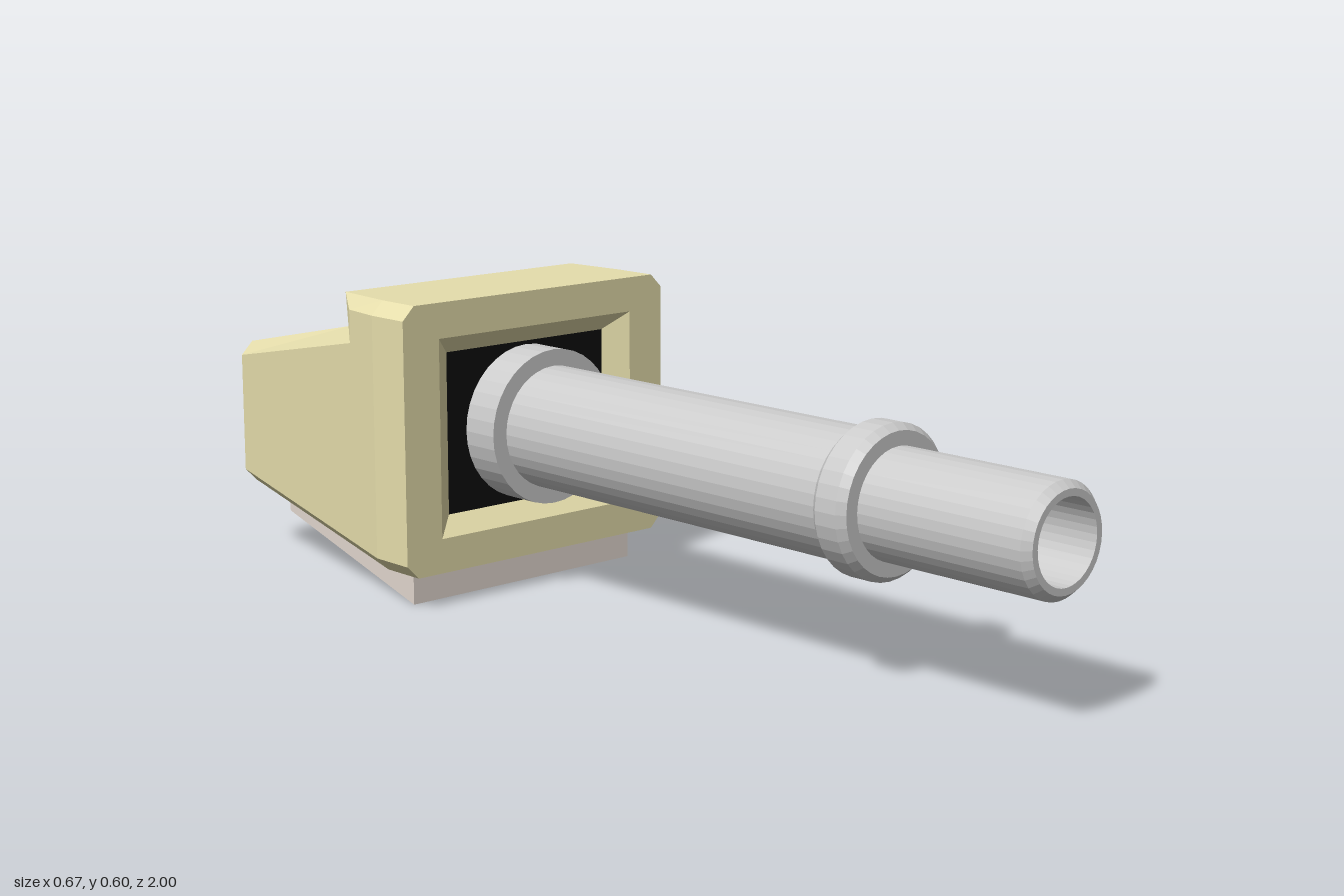
import * as THREE from 'three';

const material = (color) => new THREE.MeshStandardMaterial({ color, flatShading: true });

// Joins rings of points running from front (+z) to back, and closes the last one.
// Each ring is counter-clockwise as seen from the front.
function loft(rings, capFront = false) {
  const pos = [];
  const tri = (a, b, c) => {
    const area = new THREE.Triangle(a, b, c).getArea();
    if (area > 1e-7) for (const p of [a, b, c]) pos.push(p.x, p.y, p.z);
  };
  const n = rings[0].length;
  for (let r = 0; r < rings.length - 1; r++) {
    const f = rings[r], k = rings[r + 1];
    for (let i = 0; i < n; i++) {
      const j = (i + 1) % n;
      tri(f[i], k[i], k[j]);
      tri(f[i], k[j], f[j]);
    }
  }
  const last = rings[rings.length - 1];
  for (let i = 1; i < n - 1; i++) {
    tri(last[0], last[i + 1], last[i]);
    if (capFront) tri(rings[0][0], rings[0][i], rings[0][i + 1]);
  }
  const geo = new THREE.BufferGeometry();
  geo.setAttribute('position', new THREE.Float32BufferAttribute(pos, 3));
  geo.computeVertexNormals();
  return geo;
}

// Rectangle with cut corners; the top edge and its shoulders may sit at their own z
function section({ z, w, bottom, top, cut = 0.027, zTop = z, zShoulder = z }) {
  const half = [
    [w - cut, bottom, z], [w, bottom + cut, z],
    [w, top - cut, zShoulder], [w - cut, top, zTop],
  ];
  const mirrored = half.map(([x, y, d]) => [-x, y, d]).reverse();
  return [...half, ...mirrored].map((p) => new THREE.Vector3(...p));
}

export function createModel() {
  const group = new THREE.Group();
  const add = (name, geo, mat) => {
    const mesh = new THREE.Mesh(geo, mat);
    mesh.name = name;
    group.add(mesh);
    return mesh;
  };

  // Housing: recess, front frame, raised lip, groove and tapered rear
  add('housing', loft([
    section({ z: -0.37, w: 0.2, bottom: 0.172, top: 0.493, cut: 0 }),
    section({ z: -0.333, w: 0.247, bottom: 0.135, top: 0.53, cut: 0 }),
    section({ z: -0.333, w: 0.333, bottom: 0.066, top: 0.6 }),
    section({ z: -0.43, w: 0.333, bottom: 0.066, top: 0.6 }),
    section({ z: -0.52, w: 0.32, bottom: 0.078, top: 0.6, zTop: -0.567 }),
    section({ z: -0.52, w: 0.32, bottom: 0.078, top: 0.534, zTop: -0.553 }),
    section({ z: -1, w: 0.25, bottom: 0.14, top: 0.44 }),
  ]), material(0xe6deac));

  // Dark opening behind the barrel
  const opening = add('opening', new THREE.BoxGeometry(0.402, 0.323, 0.02), material(0x0c0c0c));
  opening.position.set(0, 0.3325, -0.378);

  // Sloped mounting plate under the housing
  const plateRing = (z, w, y0, y1) => [[w, y0], [w, y1], [-w, y1], [-w, y0]]
    .map(([x, y]) => new THREE.Vector3(x, y, z));
  add('mountingPlate', loft([
    plateRing(-0.38, 0.283, 0, 0.09),
    plateRing(-0.925, 0.19, 0.08, 0.16),
  ], true), material(0xe5dad1));

  // Barrel with base flange, collar and hollow muzzle, as [radius, z]
  const profile = [
    [0, -0.375], [0.155, -0.375], [0.155, -0.285], [0.122, -0.285],
    [0.122, 0.55], [0.13, 0.55], [0.142, 0.565], [0.142, 0.613], [0.13, 0.628],
    [0.103, 0.628], [0.103, 0.985], [0.09, 1], [0.077, 1], [0.077, 0.65], [0, 0.65],
  ].map(([r, z]) => new THREE.Vector2(r, z));
  const barrelGeo = new THREE.LatheGeometry(profile, 36);
  barrelGeo.rotateX(Math.PI / 2);
  const barrel = add('barrel', barrelGeo, material(0xcccccc));
  barrel.position.y = 0.332;

  return group;
}
